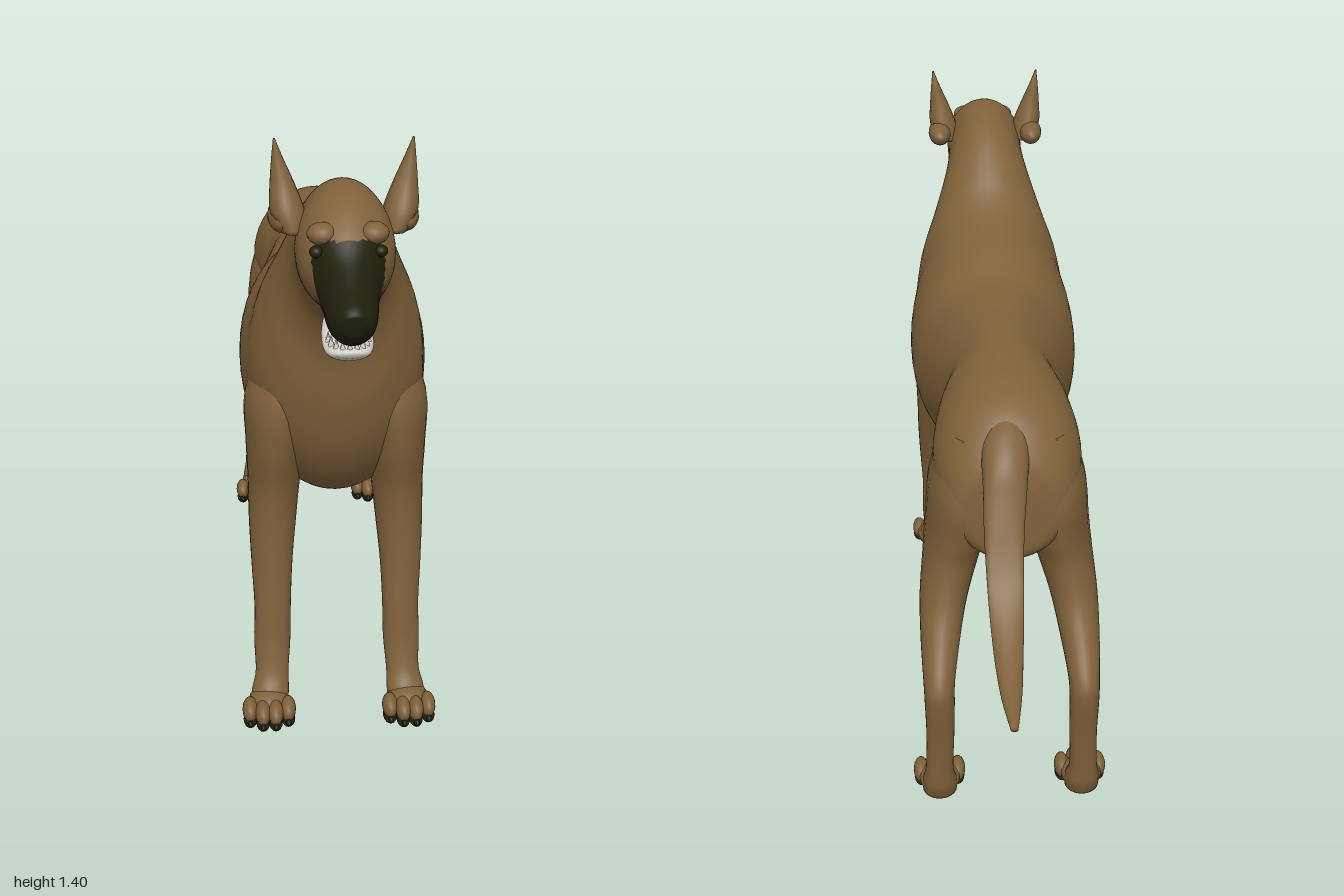
import * as THREE from 'three';

const mat = (name, color) => new THREE.MeshStandardMaterial({ name, color });

// Smooth closed skin through elliptical sections.
// Row: [zA, yA, zB, yB, halfWidth, x]; A and B are opposite ends of the section.
function loft(rows, { sides = 28, steps = 5, side = 1, isDark = null } = {}) {
  const curve = (f) => new THREE.CatmullRomCurve3(rows.map(f), false, 'catmullrom', 0.5);
  const a = curve((r) => new THREE.Vector3(r[4], r[1], r[0]));
  const b = curve((r) => new THREE.Vector3(r[5] || 0, r[3], r[2]));
  const n = (rows.length - 1) * steps;
  const pos = [];
  for (let i = 0; i <= n; i++) {
    const p = a.getPoint(i / n), q = b.getPoint(i / n);
    const w = Math.max(p.x, 0.001);
    for (let j = 0; j < sides; j++) {
      const t = (j / sides) * Math.PI * 2, c = Math.cos(t);
      pos.push(side * q.x + w * Math.sin(t),
        (p.y + q.y) / 2 + ((p.y - q.y) / 2) * c,
        (p.z + q.z) / 2 + ((p.z - q.z) / 2) * c);
    }
  }
  // end cap centres
  for (const r of [rows[0], rows[rows.length - 1]]) {
    pos.push(side * (r[5] || 0), (r[1] + r[3]) / 2, (r[0] + r[2]) / 2);
  }
  const light = [], dark = [];
  const tri = (i, j, k) => {
    const mid = [0, 1, 2].map((d) => (pos[i * 3 + d] + pos[j * 3 + d] + pos[k * 3 + d]) / 3);
    (isDark && isDark(...mid) ? dark : light).push(i, j, k);
  };
  const first = (n + 1) * sides, last = first + 1;
  for (let j = 0; j < sides; j++) {
    const k = (j + 1) % sides;
    for (let i = 0; i < n; i++) {
      const o = i * sides, u = o + sides;
      tri(o + j, u + j, o + k);
      tri(o + k, u + j, u + k);
    }
    tri(first, j, k);
    tri(last, n * sides + k, n * sides + j);
  }
  const geo = new THREE.BufferGeometry();
  geo.setAttribute('position', new THREE.Float32BufferAttribute(pos, 3));
  geo.setIndex([...light, ...dark]);
  geo.addGroup(0, light.length, 0);
  if (dark.length) geo.addGroup(light.length, dark.length, 1);
  geo.computeVertexNormals();
  return geo;
}

export function createModel() {
  const coat = mat('brown coat', 0x80623a);
  const black = mat('dark mask', 0x201f0c);
  const white = mat('white jaw', 0xd8d4cc);
  const dog = new THREE.Group();
  dog.name = 'dog';

  const add = (parent, name, geo, material) => {
    const m = new THREE.Mesh(geo, material);
    m.name = name;
    parent.add(m);
    return m;
  };
  const blob = (parent, name, material, p, s) => {
    const m = add(parent, name, new THREE.SphereGeometry(1, 16, 12), material);
    m.position.set(...p);
    m.scale.set(...s);
    return m;
  };

  // Rump, barrel, chest, neck, skull and muzzle as one skin, with a dark face mask
  const body = [
    [-0.55, 0.82, -0.55, 0.70, 0.06], [-0.535, 0.88, -0.54, 0.63, 0.12],
    [-0.48, 0.95, -0.46, 0.61, 0.155], [-0.40, 0.99, -0.36, 0.63, 0.168],
    [-0.28, 1.01, -0.26, 0.66, 0.155], [-0.15, 1.02, -0.17, 0.655, 0.132],
    [0.0, 1.02, -0.02, 0.60, 0.165], [0.12, 1.027, 0.10, 0.54, 0.195],
    [0.22, 1.065, 0.20, 0.51, 0.21], [0.30, 1.09, 0.33, 0.495, 0.212],
    [0.36, 1.115, 0.46, 0.525, 0.20], [0.41, 1.15, 0.555, 0.64, 0.185],
    [0.45, 1.19, 0.60, 0.78, 0.155], [0.51, 1.245, 0.615, 0.90, 0.125],
    [0.57, 1.285, 0.645, 0.98, 0.106], [0.64, 1.308, 0.70, 1.04, 0.098],
    [0.71, 1.312, 0.74, 1.055, 0.10], [0.77, 1.295, 0.78, 1.07, 0.094],
    [0.82, 1.262, 0.82, 1.075, 0.075], [0.87, 1.215, 0.865, 1.065, 0.057],
    [0.93, 1.18, 0.92, 1.062, 0.05], [0.98, 1.16, 0.96, 1.075, 0.04],
    [1.0, 1.145, 0.985, 1.10, 0.022],
  ];
  const mask = (x, y, z) => y < 1.24 && z > 0.82 + Math.max(0, 1.2 - y) * 0.45;
  add(dog, 'body', loft(body, { sides: 48, steps: 7, isDark: mask }), [coat, black]);

  // Open lower jaw with a row of small teeth
  add(dog, 'lowerJaw', loft([
    [0.74, 1.09, 0.74, 1.03, 0.04], [0.78, 1.07, 0.78, 1.012, 0.05],
    [0.83, 1.045, 0.83, 1.0, 0.05], [0.87, 1.038, 0.865, 1.005, 0.04],
    [0.895, 1.035, 0.89, 1.02, 0.02],
  ]), white);
  for (let i = 0; i < 9; i++) {
    const t = ((i - 4) / 4) * 1.4;
    const tooth = add(dog, 'tooth', new THREE.ConeGeometry(0.007, 0.025, 6), white);
    tooth.position.set(0.04 * Math.sin(t), 1.043, 0.82 + 0.06 * Math.cos(t));
  }

  // Tail, from tip to root
  add(dog, 'tail', loft([
    [-1.0, 0.521, -1.0, 0.509, 0.008, 0.02], [-0.90, 0.537, -0.90, 0.508, 0.022, 0.02],
    [-0.79, 0.58, -0.815, 0.525, 0.031, 0.02], [-0.69, 0.66, -0.735, 0.588, 0.038, 0.02],
    [-0.615, 0.80, -0.645, 0.67, 0.043, 0.02], [-0.575, 0.88, -0.57, 0.78, 0.048, 0.015],
    [-0.51, 0.935, -0.50, 0.84, 0.052, 0.01], [-0.43, 0.96, -0.43, 0.88, 0.04, 0],
  ]), coat);
  blob(dog, 'sheath', coat, [0, 0.625, -0.1], [0.03, 0.037, 0.065]);

  const foreleg = [
    [0.53, 0.86, 0.33, 0.88, 0.05, 0.11], [0.56, 0.76, 0.31, 0.76, 0.078, 0.125],
    [0.55, 0.65, 0.32, 0.64, 0.068, 0.135], [0.525, 0.55, 0.34, 0.55, 0.06, 0.14],
    [0.518, 0.45, 0.385, 0.45, 0.054, 0.145], [0.522, 0.35, 0.428, 0.35, 0.047, 0.148],
    [0.533, 0.25, 0.455, 0.25, 0.042, 0.148], [0.542, 0.17, 0.467, 0.16, 0.042, 0.15],
    [0.56, 0.10, 0.50, 0.09, 0.038, 0.152], [0.585, 0.06, 0.517, 0.05, 0.043, 0.157],
    [0.60, 0.02, 0.535, 0.012, 0.042, 0.16],
  ];
  const hindleg = [
    [-0.26, 0.88, -0.49, 0.90, 0.05, 0.09], [-0.20, 0.76, -0.545, 0.77, 0.078, 0.10],
    [-0.22, 0.665, -0.535, 0.66, 0.076, 0.112], [-0.29, 0.57, -0.525, 0.59, 0.066, 0.13],
    [-0.38, 0.485, -0.545, 0.50, 0.055, 0.15], [-0.47, 0.40, -0.59, 0.425, 0.045, 0.16],
    [-0.54, 0.335, -0.645, 0.35, 0.036, 0.165], [-0.57, 0.28, -0.65, 0.30, 0.034, 0.165],
    [-0.575, 0.20, -0.635, 0.20, 0.032, 0.165], [-0.565, 0.10, -0.625, 0.10, 0.032, 0.168],
    [-0.54, 0.055, -0.62, 0.05, 0.04, 0.168], [-0.53, 0.02, -0.605, 0.012, 0.04, 0.168],
  ];
  const ear = [
    [0.63, 1.22, 0.74, 1.22, 0.03, 0.10], [0.64, 1.26, 0.73, 1.26, 0.035, 0.113],
    [0.655, 1.31, 0.705, 1.31, 0.025, 0.122], [0.665, 1.36, 0.69, 1.36, 0.012, 0.131],
    [0.675, 1.40, 0.682, 1.40, 0.002, 0.137],
  ];

  // Four toes over dark pads and claws
  const paw = (name, x, z) => {
    const g = new THREE.Group();
    g.name = name;
    g.position.set(x, 0, z);
    blob(g, 'instep', coat, [0, 0.037, -0.035], [0.048, 0.032, 0.05]);
    blob(g, 'heelPad', black, [0, 0.013, -0.04], [0.036, 0.013, 0.035]);
    for (let i = 0; i < 4; i++) {
      const tx = (i - 1.5) * 0.029, tz = i === 1 || i === 2 ? 0.012 : -0.004;
      blob(g, 'toe', coat, [tx, 0.036, tz], [0.018, 0.026, 0.036]);
      blob(g, 'toePad', black, [tx, 0.013, tz + 0.004], [0.016, 0.013, 0.032]);
      blob(g, 'claw', black, [tx, 0.02, tz + 0.032], [0.006, 0.008, 0.012]);
    }
    dog.add(g);
  };

  // Paired parts
  for (const side of [1, -1]) {
    const label = side > 0 ? 'left' : 'right';
    add(dog, label + 'FrontLeg', loft(foreleg, { side }), coat);
    add(dog, label + 'HindLeg', loft(hindleg, { side }), coat);
    paw(label + 'FrontPaw', side * 0.161, 0.605);
    paw(label + 'HindPaw', side * 0.168, -0.52);
    add(dog, label + 'Ear', loft(ear, { side, sides: 14 }), coat);
    blob(dog, label + 'EarFlap', coat, [side * 0.122, 1.238, 0.66], [0.03, 0.03, 0.068]);
    blob(dog, label + 'Brow', coat, [side * 0.05, 1.245, 0.805], [0.03, 0.022, 0.03]);
    blob(dog, label + 'Eye', black, [side * 0.062, 1.215, 0.825], [0.014, 0.012, 0.015]);
  }
  return dog;
}
